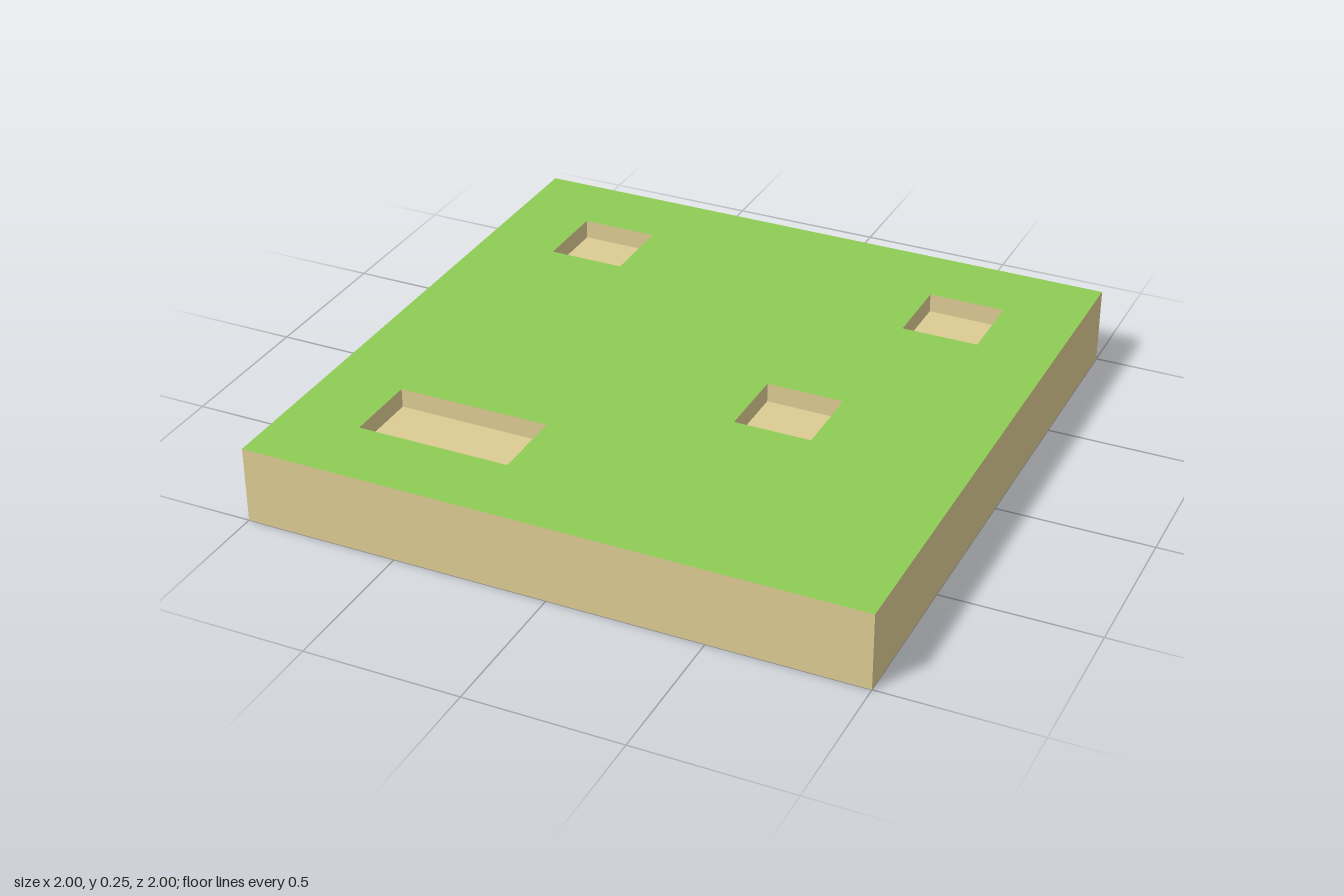
import * as THREE from 'three';
import { mergeGeometries } from 'three/addons/utils/BufferGeometryUtils.js';

const HEIGHT = 0.25;
const PIT_DEPTH = 0.0625;

// Pits as [x0, x1, z0, z1]
const PITS = [
  [-0.75, -0.5, -0.75, -0.5],
  [0.5, 0.75, -0.75, -0.5],
  [0.25, 0.5, 0, 0.25],
  [-0.75, -0.25, 0.5, 0.75],
];

// Rectangle corners in plan, anticlockwise seen from above
const corners = ([x0, x1, z0, z1]) => [[x0, z1], [x1, z1], [x1, z0], [x0, z0]];

// Four upright walls along a loop of corners; a reversed loop faces inward
function wallRing(loop, y0, y1) {
  return mergeGeometries(loop.map(([ax, az], i) => {
    const [bx, bz] = loop[(i + 1) % loop.length];
    const wall = new THREE.PlaneGeometry(Math.hypot(bx - ax, bz - az), y1 - y0);
    wall.rotateY(Math.atan2(az - bz, bx - ax));
    return wall.translate((ax + bx) / 2, (y0 + y1) / 2, (az + bz) / 2);
  }));
}

const outline = (loop) => loop.map(([x, z]) => new THREE.Vector2(x, -z));

export function createModel() {
  const model = new THREE.Group();
  const grass = new THREE.MeshStandardMaterial({ color: 0x8ecc54 });
  const earth = new THREE.MeshStandardMaterial({ color: 0xdccb93 });
  const grey = new THREE.MeshStandardMaterial({ color: 0xcccccc });

  const add = (name, geometry, material) => {
    const mesh = new THREE.Mesh(geometry, material);
    mesh.name = name;
    model.add(mesh);
  };

  const slab = corners([-1, 1, -1, 1]);

  // Grass surface with the pits cut out
  const shape = new THREE.Shape(outline(slab));
  for (const pit of PITS) shape.holes.push(new THREE.Path(outline(corners(pit).reverse())));
  add('grassTop', new THREE.ShapeGeometry(shape).rotateX(-Math.PI / 2).translate(0, HEIGHT, 0), grass);

  // Outer sides and underside of the slab
  add('slabSides', wallRing(slab, 0, HEIGHT), earth);
  add('underside', new THREE.PlaneGeometry(2, 2).rotateX(Math.PI / 2), grey);

  // Shallow pits: inward walls and a floor
  for (const pit of PITS) {
    const [x0, x1, z0, z1] = pit;
    const floorY = HEIGHT - PIT_DEPTH;
    const floor = new THREE.PlaneGeometry(x1 - x0, z1 - z0).rotateX(-Math.PI / 2);
    floor.translate((x0 + x1) / 2, floorY, (z0 + z1) / 2);
    add('pit', mergeGeometries([floor, wallRing(corners(pit).reverse(), floorY, HEIGHT)]), earth);
  }

  return model;
}
